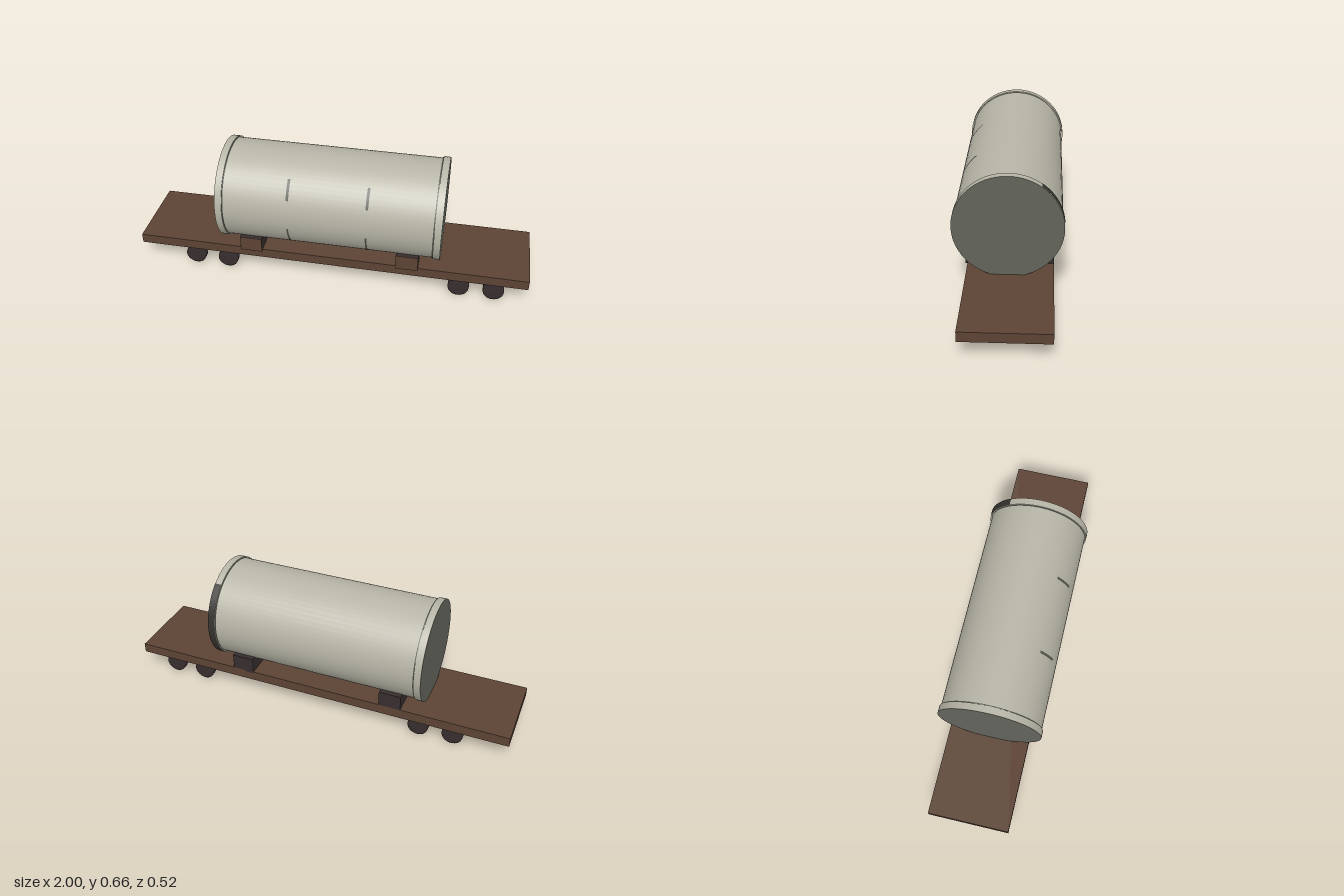
import * as THREE from 'three';

const mat = (name, color) => {
  const m = new THREE.MeshStandardMaterial({ color });
  m.name = name;
  return m;
};

export function createModel() {
  const cream = mat('tank cream', 0xb7b5a6);
  const capGrey = mat('cap grey', 0x62645b);
  const streakGrey = mat('streak grey', 0x55564c);
  const rimDark = mat('rim dark', 0x35332f);
  const brown = mat('deck brown', 0x5c4334);
  const iron = mat('dark iron', 0x372e2e);

  const model = new THREE.Group();
  const add = (name, geometry, material, x = 0, y = 0, z = 0, parent = model) => {
    const mesh = new THREE.Mesh(geometry, material);
    mesh.name = name;
    mesh.position.set(x, y, z);
    parent.add(mesh);
    return mesh;
  };

  // Flat deck
  add('deck', new THREE.BoxGeometry(2, 0.05, 0.408), brown, 0, 0.133, -0.009);

  // Tank lying along x
  const tank = new THREE.Group();
  tank.name = 'tank';
  tank.position.y = 0.403;
  model.add(tank);
  const drum = (radius, width) =>
    new THREE.CylinderGeometry(radius, radius, width, 64).rotateZ(-Math.PI / 2);
  // Open band; angles run from the front (+z) upwards
  const band = (radius, width, from, to) =>
    new THREE.CylinderGeometry(radius, radius, width, 48, 1, true, -to, to - from).rotateZ(-Math.PI / 2);

  add('tankBody', drum(0.25, 1.06), cream, 0, 0, 0, tank);
  add('leftFlange', drum(0.257, 0.035), [cream, capGrey, cream], 0.538, 0, 0, tank);
  add('rightFlange', drum(0.257, 0.035), [cream, cream, capGrey], -0.542, 0, 0, tank);
  add('darkRim', band(0.2585, 0.035, 2.2, 4.3), rimDark, 0.538, 0, 0, tank);
  for (const x of [-0.522, 0.518])
    add('seam', band(0.2515, 0.006, 0, Math.PI * 2), streakGrey, x, 0, 0, tank);

  // Weathered streaks on the front of the tank
  for (const x of [-0.197, 0.193]) {
    add('upperStreak', band(0.2515, 0.013, 0.42, 0.85), streakGrey, x, 0, 0, tank);
    add('lowerStreak', band(0.2515, 0.009, -1.2, -0.22), streakGrey, x, 0, 0, tank);
  }

  // Saddles: blocks hollowed to cradle the tank
  const outline = new THREE.Shape();
  outline.moveTo(-0.203, 0.15);
  outline.lineTo(0.213, 0.15);
  outline.lineTo(0.213, 0.237);
  outline.lineTo(0.187, 0.237);
  outline.quadraticCurveTo(0.12, 0.165, 0, 0.154);
  outline.quadraticCurveTo(-0.12, 0.165, -0.181, 0.229);
  outline.lineTo(-0.203, 0.229);
  outline.closePath();
  const saddleGeometry = new THREE.ExtrudeGeometry(outline, { depth: 0.112, bevelEnabled: false, curveSegments: 10 });
  saddleGeometry.rotateY(Math.PI / 2).translate(-0.056, 0, 0);
  for (const x of [-0.402, 0.396]) {
    add('saddle', saddleGeometry, iron, x);
    add('saddleFace', new THREE.BoxGeometry(0.112, 0.079, 0.003), brown, x, 0.1895, 0.204);
  }

  // Wheelsets: two wheels and an axle in one turned profile
  const half = [[0, 0.181], [0.046, 0.181], [0.052, 0.177], [0.053, 0.165], [0.0525, 0.145],
    [0.047, 0.139], [0.034, 0.135], [0.029, 0.129], [0.027, 0.118]];
  const profile = [
    ...half.map(([r, z]) => new THREE.Vector2(r, -z)),
    ...half.slice().reverse().map(([r, z]) => new THREE.Vector2(r, z)),
  ];
  const wheelset = new THREE.LatheGeometry(profile, 32).rotateX(Math.PI / 2);
  for (const x of [-0.718, -0.543, 0.66, 0.835]) add('wheelset', wheelset, iron, x, 0.055, 0);

  return model;
}
